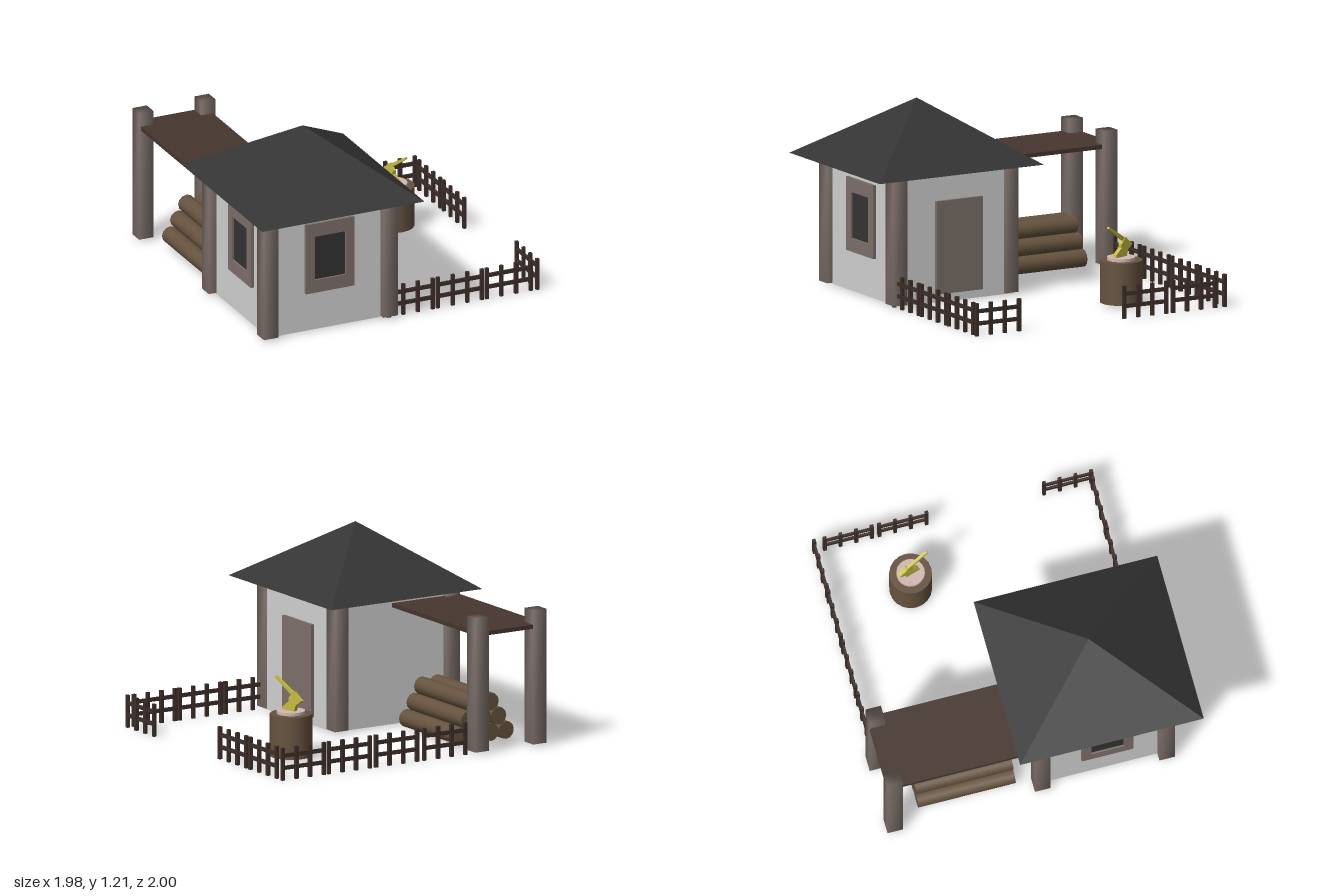
import * as THREE from 'three';
import { mergeVertices } from 'three/addons/utils/BufferGeometryUtils.js';

const mat = (name, color) => {
  const m = new THREE.MeshStandardMaterial({ color });
  m.name = name;
  return m;
};

export function createModel() {
  const model = new THREE.Group();
  model.name = 'woodcutterHut';

  const plaster = mat('plaster', 0xd2d2d2);
  const slate = mat('darkSlate', 0x343434);
  const post = mat('weatheredTimber', 0x7d706a);
  const board = mat('darkBoard', 0x46362e);
  const bark = mat('bark', 0x66533f);
  const cutWood = mat('cutWood', 0xd2b8b2);
  const fenceWood = mat('fenceWood', 0x3d2e29);
  const yellow = mat('yellowAxe', 0xc6bb40);

  const add = (name, geometry, material, parent = model) => {
    const mesh = new THREE.Mesh(geometry, material);
    mesh.name = name;
    parent.add(mesh);
    return mesh;
  };
  const group = (name) => {
    const g = new THREE.Group();
    g.name = name;
    model.add(g);
    return g;
  };
  // Box given by its minimum and maximum corners
  const box = (x0, x1, y0, y1, z0, z1) =>
    new THREE.BoxGeometry(x1 - x0, y1 - y0, z1 - z0)
      .translate((x0 + x1) / 2, (y0 + y1) / 2, (z0 + z1) / 2);
  // Shared corner normals give the posts their soft shading
  const soften = (g) => {
    g.deleteAttribute('normal');
    g.deleteAttribute('uv');
    const s = mergeVertices(g);
    s.computeVertexNormals();
    return s;
  };

  // Walls
  add('walls', box(-0.85, 0, 0.013, 0.825, -0.02, 0.80), plaster);

  // Hipped roof
  const roof = new THREE.ConeGeometry(Math.SQRT1_2, 1, 4).rotateY(Math.PI / 4)
    .scale(1.105, 0.385, 1.17).translate(-0.437, 1.0175, 0.415).toNonIndexed();
  roof.computeVertexNormals();
  add('roof', roof, slate);

  // Corner posts of the hut and the two posts of the lean-to
  const addPost = (name, x, z, top) =>
    add(name, soften(box(x - 0.049, x + 0.049, 0.02, top, z - 0.049, z + 0.049)), post);
  for (const x of [-0.852, -0.039]) {
    for (const z of [-0.003, 0.79]) addPost('hutPost', x, z, 0.83);
  }
  for (const x of [-0.878, -0.455]) addPost('shelterPost', x, -0.95, 0.865);

  // Lean-to roof board
  add('shelterRoof', box(-0.915, -0.425, 0.75, 0.776, -0.998, -0.02), board);

  // Window and door: frame with an opening and a thin dark panel behind it
  const rect = (Type, x0, x1, y0, y1) => {
    const s = new Type();
    s.moveTo(x0, y0);
    s.lineTo(x1, y0);
    s.lineTo(x1, y1);
    s.lineTo(x0, y1);
    s.closePath();
    return s;
  };
  const opening = (name, w, y0, y1, inner) => {
    const g = group(name);
    const [ix0, ix1, iy0, iy1] = inner;
    const shape = rect(THREE.Shape, -w / 2, w / 2, y0, y1);
    if (iy0 > y0) {
      shape.holes.push(rect(THREE.Path, ix0, ix1, iy0, iy1));
    } else {
      // Door frame is open at the bottom
      shape.setFromPoints([[-w / 2, y0], [ix0, y0], [ix0, iy1], [ix1, iy1], [ix1, y0],
        [w / 2, y0], [w / 2, y1], [-w / 2, y1]].map(([x, y]) => new THREE.Vector2(x, y)));
    }
    add('frame', new THREE.ExtrudeGeometry(shape, { depth: 0.02, bevelEnabled: false }), post, g);
    add('panel', box(ix0, ix1, iy0, iy1, 0, 0.008), slate, g);
    return g;
  };
  const pane = [-0.105, 0.105, 0.35, 0.64];
  opening('frontWindow', 0.33, 0.265, 0.727, pane).position.set(-0.44, 0, 0.80);
  const side = opening('sideWindow', 0.33, 0.265, 0.727, pane);
  side.position.set(-0.85, 0, 0.42);
  side.rotation.y = -Math.PI / 2;
  const door = opening('door', 0.33, 0.065, 0.65, [-0.12, 0.115, 0.065, 0.60]);
  door.position.set(0, 0, 0.373);
  door.rotation.y = Math.PI / 2;

  // Log pile in rows of four, three and two
  const logs = group('logPile');
  const logGeo = new THREE.CylinderGeometry(0.056, 0.056, 0.62, 12).rotateX(Math.PI / 2);
  for (let row = 0; row < 3; row++) {
    const n = 4 - row;
    for (let i = 0; i < n; i++) {
      add('log', logGeo, bark, logs)
        .position.set(-0.61 + (i - (n - 1) / 2) * 0.11, 0.076 + row * 0.096, -0.465);
    }
  }

  // Chopping block
  add('choppingBlock', new THREE.CylinderGeometry(0.132, 0.132, 0.265, 20), bark)
    .position.set(0.587, 0.1525, -0.445);
  add('blockTop', new THREE.CylinderGeometry(0.088, 0.088, 0.02, 20), cutWood)
    .position.set(0.587, 0.294, -0.445);

  // Axe stuck in the block, drawn as side profiles
  const axe = group('axe');
  axe.position.set(0.587, 0, -0.445);
  axe.rotation.y = -1.265;
  const plate = (name, points, depth) => {
    const s = new THREE.Shape(points.map(([x, y]) => new THREE.Vector2(x, y)));
    add(name, new THREE.ExtrudeGeometry(s, { depth, bevelEnabled: false })
      .translate(0, 0, -depth / 2), yellow, axe);
  };
  plate('axeHead', [[0.06, 0.30], [0.055, 0.325], [0.01, 0.36], [0.01, 0.385], [-0.03, 0.425],
    [-0.05, 0.405], [-0.09, 0.375], [-0.075, 0.36], [-0.05, 0.345], [-0.035, 0.30]], 0.028);
  plate('axeHandle', [[0.12, 0.495], [0.115, 0.508], [-0.035, 0.415], [-0.02, 0.395]], 0.018);

  // Fence panels: four pickets and two rails each
  const fence = group('fence');
  const picket = new THREE.BoxGeometry(0.022, 0.205, 0.02);
  const rail = new THREE.BoxGeometry(0.322, 0.024, 0.014);
  const panel = (x, z, turned) => {
    const p = new THREE.Group();
    p.name = 'fencePanel';
    p.position.set(x, 0, z);
    if (turned) p.rotation.y = Math.PI / 2;
    fence.add(p);
    for (const y of [0.083, 0.16]) add('rail', rail, fenceWood, p).position.y = y;
    for (let i = 0; i < 4; i++) {
      add('picket', picket, fenceWood, p).position.set(-0.15 + i * 0.1, 0.1075, 0);
    }
  };
  for (const x of [-0.21, 0.143, 0.488, 0.825]) panel(x, -0.955, false);
  for (const x of [0.112, 0.448, 0.78]) panel(x, 0.808, false);
  for (const z of [-0.738, -0.39, 0.66]) panel(0.975, z, true);

  return model;
}
